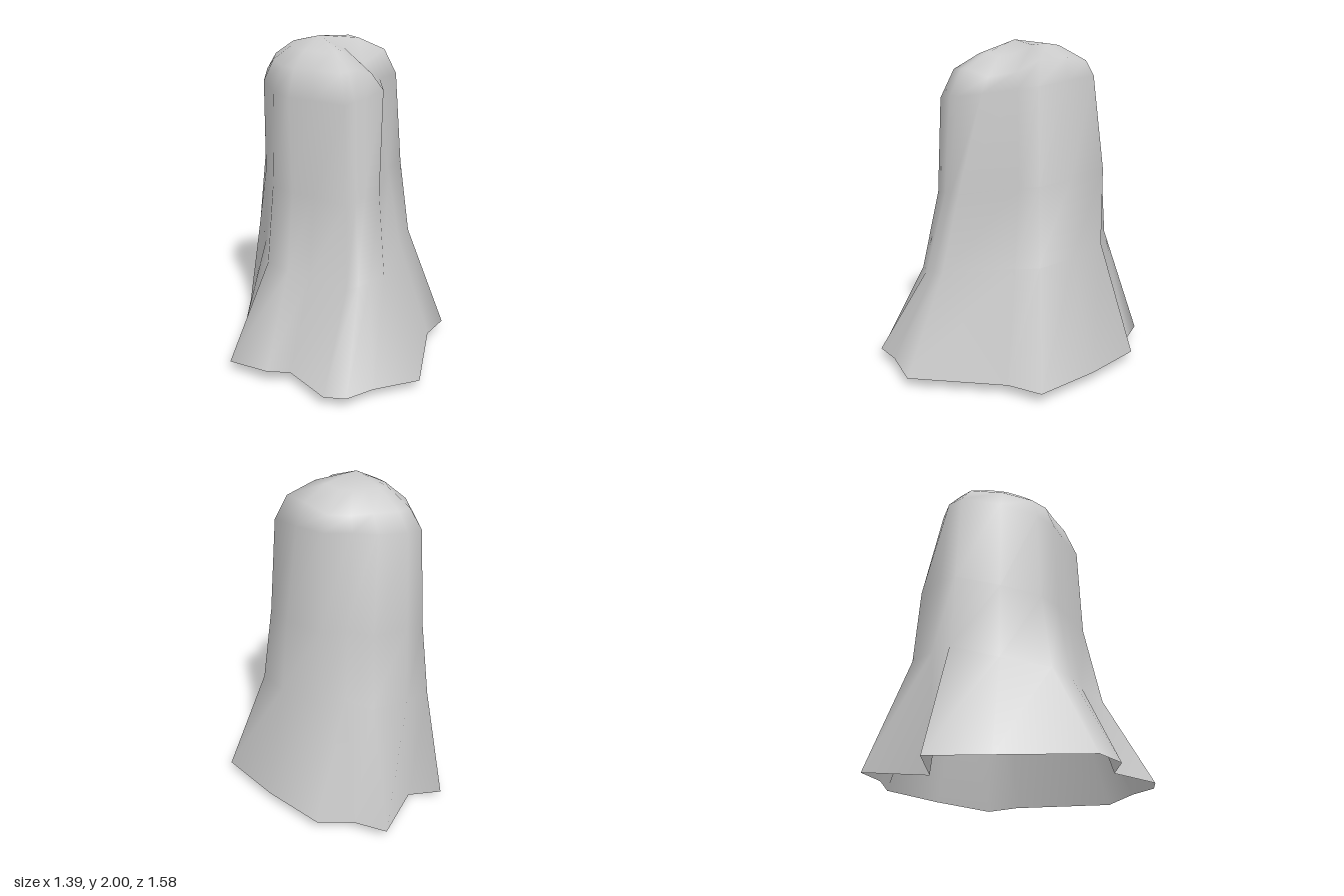
import * as THREE from 'three';

// Sixteen folds [x, z], running from the back left corner round the +x side to the front
const hem = [
  [-0.44, -0.77], [-0.24, -0.74], [-0.02, -0.79], [0.34, -0.60],
  [0.69, -0.36], [0.63, -0.15], [0.69, 0.45], [0.45, 0.63],
  [0.33, 0.77], [0.20, 0.79], [-0.07, 0.59], [-0.20, 0.65],
  [-0.47, 0.57], [-0.59, 0.03], [-0.70, -0.32], [-0.50, -0.34],
];
const waist = [
  [-0.30, -0.56], [-0.13, -0.50], [0, -0.58], [0.28, -0.45],
  [0.45, -0.29], [0.42, -0.14], [0.43, 0.31], [0.36, 0.39],
  [0.31, 0.45], [0.25, 0.50], [0, 0.41], [-0.15, 0.38],
  [-0.31, 0.30], [-0.43, 0.02], [-0.57, -0.23], [-0.47, -0.37],
];
const chest = [
  [-0.29, -0.53], [-0.13, -0.48], [0, -0.58], [0.24, -0.43],
  [0.39, -0.27], [0.34, -0.14], [0.37, 0.22], [0.30, 0.29],
  [0.26, 0.34], [0.22, 0.40], [0, 0.34], [-0.14, 0.31],
  [-0.29, 0.24], [-0.42, 0.02], [-0.52, -0.23], [-0.45, -0.35],
];
const shoulder = [
  [-0.28, -0.41], [-0.15, -0.44], [0, -0.51], [0.18, -0.39],
  [0.35, -0.25], [0.28, -0.12], [0.35, 0.08], [0.29, 0.25],
  [0.24, 0.31], [0.20, 0.38], [0, 0.33], [-0.16, 0.30],
  [-0.28, 0.22], [-0.42, 0.02], [-0.49, -0.22], [-0.43, -0.32],
];
const apex = [-0.07, 2, -0.01];
const hemHeight = { 11: 0.08, 14: 0.05, 15: 0 };
// Raised back lobe, with a crease and a dropping front lobe beside it
const crownLift = { 2: 0.01, 3: 0.05, 4: 0.05, 5: -0.04, 6: -0.06 };

// Shrinks the shoulder outline towards the apex; fold 5 is pinched into the crease
function crown(y, scale) {
  return shoulder.map(([x, z], i) => {
    const s = scale * (i === 5 ? 0.85 : 1);
    return [
      apex[0] + (x - apex[0]) * s,
      y + (crownLift[i] ?? 0) * scale - 0.05 * z,
      apex[2] + (z - apex[2]) * s - (i >= 1 && i <= 4 ? 0.04 : 0),
    ];
  });
}

// Places an outline at a height, tilted down towards the front
const level = (outline, y) => outline.map(([x, z]) => [x, y - 0.15 * z, z]);

// Skins closed rings from bottom to top and closes them at the tip
function loft(rings, tip) {
  const n = rings[0].length;
  const index = [];
  for (let r = 0; r < rings.length; r++) {
    for (let i = 0; i < n; i++) {
      const a = r * n + i;
      const b = r * n + (i + 1) % n;
      if (r === rings.length - 1) index.push(a, rings.length * n, b);
      else index.push(a, a + n, b, b, a + n, b + n);
    }
  }
  const geometry = new THREE.BufferGeometry();
  const points = [...rings.flat(), tip].flat();
  geometry.setAttribute('position', new THREE.Float32BufferAttribute(points, 3));
  geometry.setIndex(index);
  geometry.computeVertexNormals();
  return geometry;
}

export function createModel() {
  const group = new THREE.Group();
  group.name = 'drapedCloth';
  const material = new THREE.MeshStandardMaterial({ color: 0xcccccc, side: THREE.DoubleSide });

  // Flared hem, folded body and rounded crown, open underneath
  const rings = [
    hem.map(([x, z], i) => [x, hemHeight[i] ?? 0.06, z]),
    level(waist, 0.68),
    level(chest, 1.15),
    level(shoulder, 1.72),
    crown(1.85, 0.82),
    crown(1.94, 0.48),
  ];
  const cloth = new THREE.Mesh(loft(rings, apex), material);
  cloth.name = 'cloth';
  group.add(cloth);
  return group;
}
